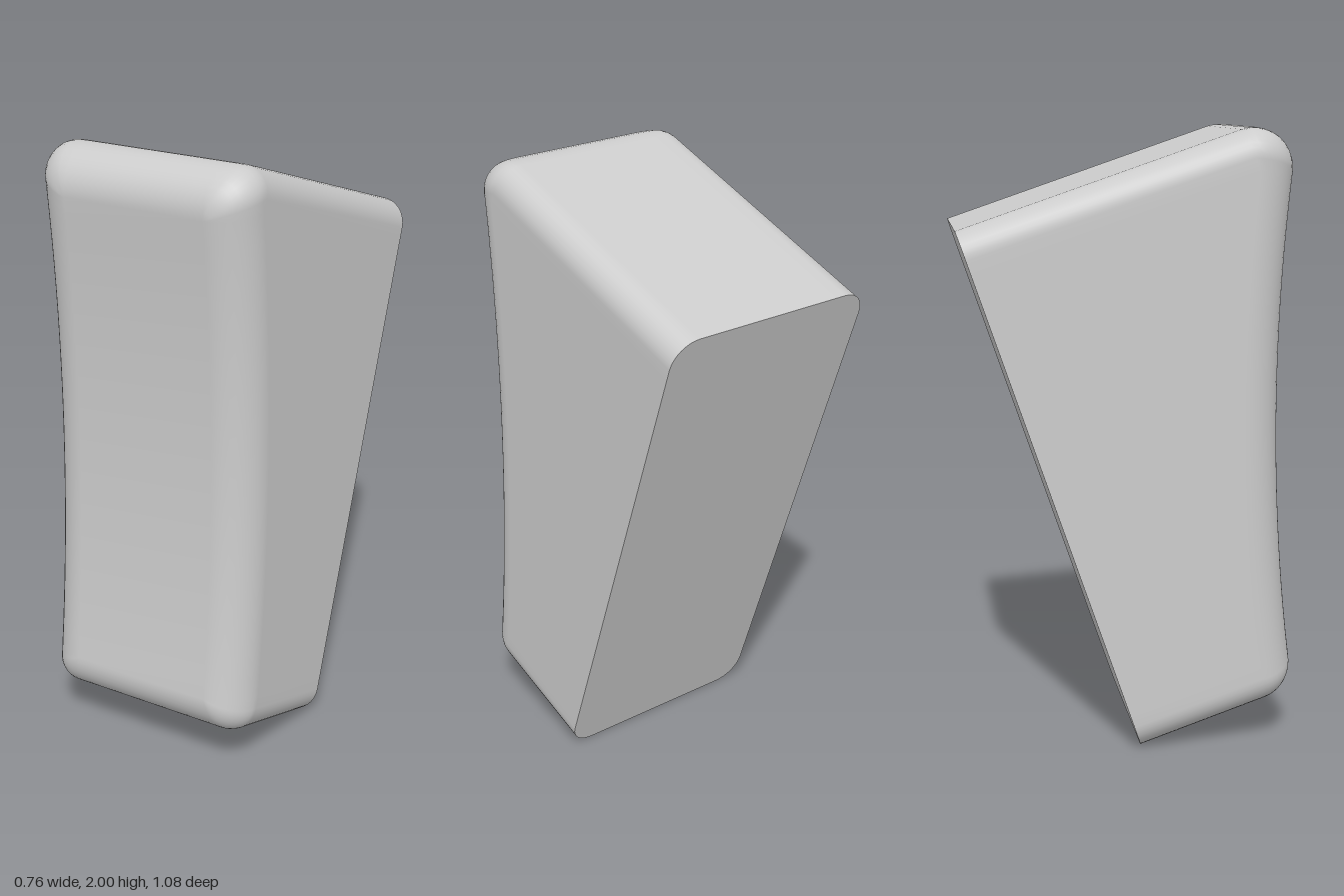
import * as THREE from 'three';
import { mergeVertices } from 'three/addons/utils/BufferGeometryUtils.js';

// Local frame: x across, y along the flat back, z away from the back
const HALF_W = 0.377, HEIGHT = 1.787;
const CORNER = 0.09;              // radius of the four long edges
const FILLET = 0.13;              // radius of the rim around the front
const ARC = { y: -1.28, z: 7.225, radius: 6.8 };   // hollow of the front face
const SIDE_STEPS = 20, CORNER_STEPS = 8, FILLET_STEPS = 10;

// Rounded rectangle, counter-clockwise from the lower right corner.
// Also returns the point numbers running up the right and left sides.
function outline() {
  const points = [], right = [], left = [];
  const corner = (sx, sy, start) => {
    const cx = sx * (HALF_W - CORNER), cy = HEIGHT / 2 + sy * (HEIGHT / 2 - CORNER);
    const onEnd = new THREE.Vector2(sx * (HALF_W - FILLET), sy < 0 ? 0 : HEIGHT);
    const onSide = new THREE.Vector2(sx * HALF_W, sy < 0 ? FILLET : HEIGHT - FILLET);
    const endFirst = sx * sy < 0;
    points.push(endFirst ? onEnd : onSide);
    for (let i = 0; i <= CORNER_STEPS; i++) {
      const a = start + (i / CORNER_STEPS) * Math.PI / 2;
      points.push(new THREE.Vector2(cx + CORNER * Math.cos(a), cy + CORNER * Math.sin(a)));
    }
    points.push(endFirst ? onSide : onEnd);
  };
  const side = (sx) => {
    for (let i = 1; i < SIDE_STEPS; i++) {
      const t = sx > 0 ? i / SIDE_STEPS : 1 - i / SIDE_STEPS;
      points.push(new THREE.Vector2(sx * HALF_W, FILLET + t * (HEIGHT - 2 * FILLET)));
    }
  };
  corner(1, -1, -Math.PI / 2);
  const r0 = points.length - 1;
  side(1);
  corner(1, 1, 0);
  corner(-1, 1, Math.PI / 2);
  const l0 = points.length - 1;
  side(-1);
  corner(-1, -1, Math.PI);
  for (let i = 0; i <= SIDE_STEPS; i++) {
    right.push(r0 + i);
    left.push(l0 + SIDE_STEPS - i);
  }
  return { points, right, left };
}

// Walls, rolled rim and hollow front as one smooth skin
function bodyGeometry({ points, right, left }) {
  const n = points.length, rings = FILLET_STEPS + 2;
  const positions = [], index = [];
  for (const p of points) positions.push(p.x, p.y, 0);
  for (let k = 0; k <= FILLET_STEPS; k++) {
    const t = k / FILLET_STEPS;
    for (const p of points) {
      // Centre of the rolling rim, kept one fillet radius inside the skin
      const x = THREE.MathUtils.clamp(p.x, FILLET - HALF_W, HALF_W - FILLET);
      const y = THREE.MathUtils.clamp(p.y, FILLET, HEIGHT - FILLET);
      const big = ARC.radius + FILLET;
      const z = ARC.z - Math.sqrt(big * big - (y - ARC.y) ** 2);
      const centre = new THREE.Vector3(x, y, z);
      const out = new THREE.Vector3(p.x - x, p.y - y, 0);
      const front = new THREE.Vector3(0, ARC.y - y, ARC.z - z).setLength(FILLET);
      // Swing from the wall direction to the front normal
      const angle = out.angleTo(front), s = Math.sin(angle);
      centre.addScaledVector(out, Math.sin((1 - t) * angle) / s)
        .addScaledVector(front, Math.sin(t * angle) / s);
      positions.push(centre.x, centre.y, centre.z);
    }
  }
  const quad = (a, b, c, d) => index.push(a, b, c, a, c, d);
  for (let k = 0; k < rings - 1; k++) {
    for (let j = 0; j < n; j++) {
      const m = (j + 1) % n;
      quad(k * n + j, k * n + m, (k + 1) * n + m, (k + 1) * n + j);
    }
  }
  const last = (rings - 1) * n;
  for (let i = 0; i < SIDE_STEPS; i++) {
    quad(last + left[i], last + right[i], last + right[i + 1], last + left[i + 1]);
  }
  const geometry = new THREE.BufferGeometry();
  geometry.setAttribute('position', new THREE.Float32BufferAttribute(positions, 3));
  geometry.setIndex(index);
  const merged = mergeVertices(geometry, 1e-5);
  merged.computeVertexNormals();
  return merged;
}

export function createModel() {
  const material = new THREE.MeshStandardMaterial({ color: 0xcccccc });
  const shape = outline();

  const body = new THREE.Mesh(bodyGeometry(shape), material);
  body.name = 'body';

  // Flat back, facing away from the front
  const back = new THREE.Mesh(new THREE.ShapeGeometry(new THREE.Shape(shape.points)), material);
  back.name = 'backFace';
  back.rotation.y = Math.PI;

  // Lean the block backwards, resting on its lower back edge
  const block = new THREE.Group();
  block.name = 'leaningBlock';
  block.add(body, back);
  block.rotation.x = -0.3306;
  block.position.z = 0.04;

  const model = new THREE.Group();
  model.name = 'wedgeBlock';
  model.add(block);
  return model;
}
